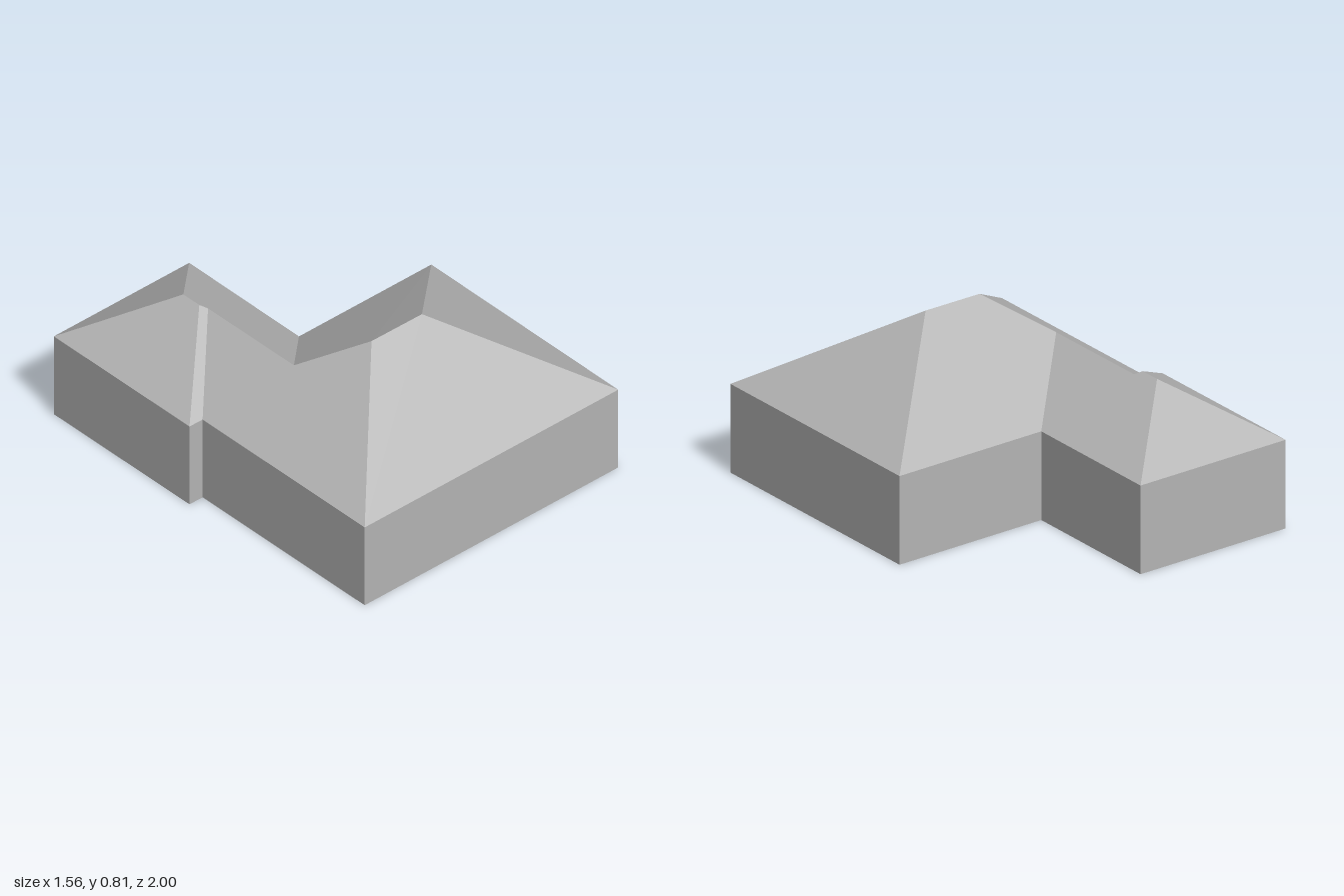
import * as THREE from 'three';

const EAVES = 0.42;

// Plan corners [x, z], counter-clockwise seen from above
const plan = {
  A: [-0.735, -1.0], H: [-0.78, -0.13], G: [-0.705, -0.125], F: [-0.76, 0.915],
  E: [0.71, 0.995], D: [0.777, -0.208], C: [0.01, -0.25], B: [0.05, -0.957],
};

// Ridge points [x, z, y]
const ridge = {
  mainL: [-0.16, 0.36, 0.81], mainR: [0.13, 0.378, 0.81],
  wingBack: [-0.365, -0.58, 0.672], wingFront: [-0.37, -0.478, 0.672],
  stepTop: [-0.345, -0.45, 0.655], stepEnd: [-0.373, 0.1, 0.655],
};

// One slope per eaves edge
const slopes = [
  ['A', 'wingBack', 'B'],
  ['A', 'H', 'wingFront', 'wingBack'],
  ['H', 'G', 'stepTop', 'wingFront'],
  ['G', 'F', 'mainL', 'stepEnd', 'stepTop'],
  ['F', 'E', 'mainR', 'mainL'],
  ['E', 'D', 'mainR'],
  ['D', 'C', 'stepEnd', 'mainL', 'mainR'],
  ['C', 'B', 'wingBack', 'wingFront', 'stepTop', 'stepEnd'],
].map((f) => (f[1] === 'wingBack' ? ['B', 'A', 'wingBack'] : f));

function meshFrom(name, positions, material) {
  const geometry = new THREE.BufferGeometry();
  geometry.setAttribute('position', new THREE.Float32BufferAttribute(positions, 3));
  geometry.computeVertexNormals(); // unshared corners keep every face flat
  const mesh = new THREE.Mesh(geometry, material);
  mesh.name = name;
  return mesh;
}

// Triangulates a polygon of [x, z, y] points in plan; down = true faces it downwards
function polygon(points, down = false) {
  const contour = points.map(([x, z]) => new THREE.Vector2(x, -z));
  return THREE.ShapeUtils.triangulateShape(contour, []).flatMap((t) => {
    const [a, b, c] = t.map((i) => contour[i]);
    const up = (b.x - a.x) * (c.y - a.y) - (b.y - a.y) * (c.x - a.x) > 0;
    const order = up === down ? [t[0], t[2], t[1]] : t;
    return order.flatMap((i) => [points[i][0], points[i][2], points[i][1]]);
  });
}

export function createModel() {
  const house = new THREE.Group();
  house.name = 'house';
  const grey = new THREE.MeshStandardMaterial({ color: 0xb4b4b4 });
  grey.name = 'plain grey';

  // Walls follow the plan outline
  const corners = Object.values(plan);
  const walls = corners.flatMap(([x0, z0], i) => {
    const [x1, z1] = corners[(i + 1) % corners.length];
    return [
      x0, 0, z0, x1, 0, z1, x1, EAVES, z1,
      x0, 0, z0, x1, EAVES, z1, x0, EAVES, z0,
    ];
  });
  house.add(meshFrom('walls', walls, grey));

  // Hipped roof
  const point = (key) => ridge[key] ?? [...plan[key], EAVES];
  house.add(meshFrom('roof', slopes.flatMap((face) => polygon(face.map(point))), grey));

  // Underside
  house.add(meshFrom('floor', polygon(corners.map(([x, z]) => [x, z, 0]), true), grey));

  return house;
}
